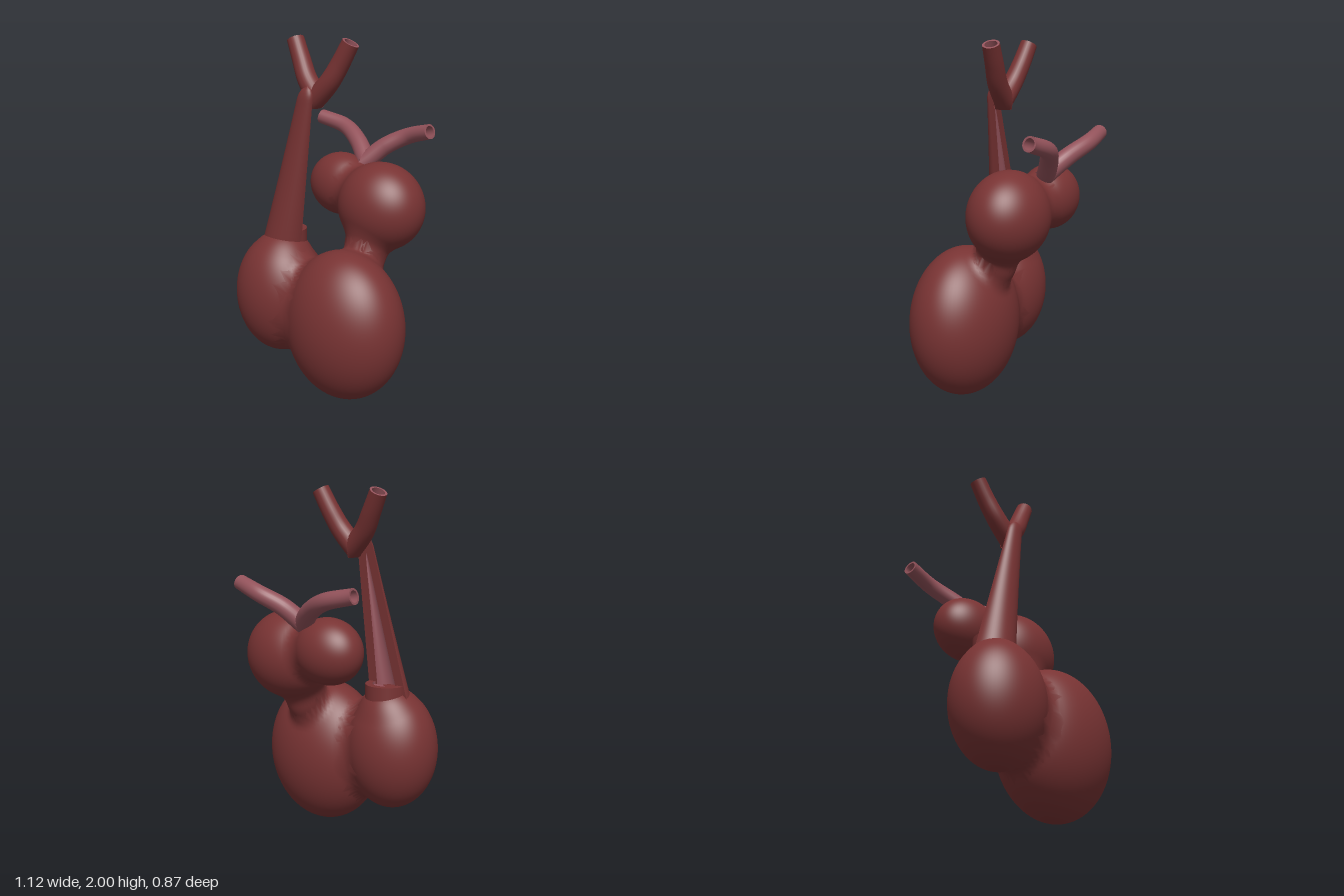
import * as THREE from 'three';

const V = (x, y, z) => new THREE.Vector3(x, y, z);
const flesh = new THREE.MeshStandardMaterial({ color: 0x783333, side: THREE.DoubleSide });
flesh.name = 'dark red muscle';
const lining = new THREE.MeshStandardMaterial({ color: 0x92525a, side: THREE.DoubleSide });
lining.name = 'pink vessel lining';

// Chambers as ellipsoids: name, centre, radii
const lobes = [
  ['largeVentricle', V(0.188, 0.43, 0.147), V(0.37, 0.43, 0.285)],
  ['smallVentricle', V(-0.285, 0.525, 0.175), V(0.275, 0.353, 0.247)],
  ['largeAtrium', V(0.2, 1.06, -0.15), V(0.265, 0.252, 0.221)],
  ['smallAtrium', V(-0.145, 1.13, -0.21), V(0.21, 0.185, 0.161)],
  ['valveNeck', V(0.17, 0.82, -0.06), V(0.115, 0.17, 0.112)],
  ['stalkRoot', V(-0.278, 0.76, 0.14), V(0.125, 0.12, 0.125)],
];

// Approximate distance to one ellipsoid
function ellipsoid(p, c, r) {
  const x = (p.x - c.x) / r.x, y = (p.y - c.y) / r.y, z = (p.z - c.z) / r.z;
  const k = Math.hypot(x, y, z);
  return k * (k - 1) / Math.max(1e-6, Math.hypot(x / r.x, y / r.y, z / r.z));
}

// Smooth union of all chambers
function field(p) {
  const K = 0.07;
  let d = 10;
  for (const [, c, r] of lobes) {
    const e = ellipsoid(p, c, r), h = Math.max(K - Math.abs(d - e), 0) / K;
    d = Math.min(d, e) - h * h * K / 4;
  }
  return d;
}

// A sphere whose vertices are pushed out to the blended surface
function lobeGeometry(c, r) {
  const g = new THREE.SphereGeometry(1, 80, 56);
  const pos = g.attributes.position, nor = g.attributes.normal;
  const dir = V(), p = V(), n = V(), e = 0.002;
  for (let i = 0; i < pos.count; i++) {
    dir.fromBufferAttribute(pos, i).multiply(r);
    let t = 0.98, prev = -1;
    for (; t < 1.35; t += 0.01) {
      const d = field(p.copy(c).addScaledVector(dir, t));
      if (d > 0) {
        t -= 0.01 * d / (d - prev);
        break;
      }
      prev = d;
    }
    p.copy(c).addScaledVector(dir, t);
    const slope = (x, y, z) => field(V(p.x + x, p.y + y, p.z + z)) - field(V(p.x - x, p.y - y, p.z - z));
    n.set(slope(e, 0, 0), slope(0, e, 0), slope(0, 0, e)).normalize();
    pos.setXYZ(i, p.x, p.y, p.z);
    nor.setXYZ(i, n.x, n.y, n.z);
  }
  return g;
}

// Surface patch from a function of u and v
function patch(nu, nv, f) {
  const g = new THREE.PlaneGeometry(1, 1, nu, nv);
  const pos = g.attributes.position, uv = g.attributes.uv;
  for (let i = 0; i < pos.count; i++) pos.setXYZ(i, ...f(uv.getX(i), uv.getY(i)));
  g.computeVertexNormals();
  return g;
}

export function createModel() {
  const model = new THREE.Group();
  const add = (name, geo, mat, parent = model) => {
    const m = new THREE.Mesh(geo, mat);
    m.name = name;
    parent.add(m);
    return m;
  };

  for (const [name, c, r] of lobes) add(name, lobeGeometry(c, r), flesh);

  // Hollow tapering branch, cut off at the plane x = seam and at a lowest height
  function branch(name, points, r0, r1, seam, floor, mat) {
    const group = new THREE.Group();
    group.name = name;
    model.add(group);
    const curve = new THREE.CatmullRomCurve3(points), SEG = 32, RAD = 24;
    const side = Math.sign(points.at(-1).x - seam);
    const end = curve.getPointAt(1), tangent = curve.getTangentAt(1);
    const wall = (scale) => {
      const g = new THREE.TubeGeometry(curve, SEG, 1, RAD);
      const pos = g.attributes.position, v = V();
      for (let i = 0; i < pos.count; i++) {
        const t = Math.floor(i / (RAD + 1)) / SEG, c = curve.getPointAt(t);
        v.fromBufferAttribute(pos, i).sub(c).multiplyScalar(scale * THREE.MathUtils.lerp(r0, r1, t)).add(c);
        if ((v.x - seam) * side < 0) v.x = seam;
        pos.setXYZ(i, v.x, Math.max(v.y, floor), v.z);
      }
      return g;
    };
    add('outerWall', wall(1), mat, group);
    add('innerWall', wall(0.74), lining, group);
    const rim = add('openRim', new THREE.RingGeometry(r1 * 0.74, r1, RAD), lining, group);
    rim.position.copy(end);
    rim.quaternion.setFromUnitVectors(V(0, 0, 1), tangent);
  }

  // Forked artery at the top
  for (const s of [-1, 1]) {
    const x = (d) => -0.0925 + s * d;
    branch('arteryBranch', [V(x(-0.05), 1.635, 0.068), V(x(0), 1.675, 0.062), V(x(0.085), 1.765, 0.05),
      V(x(0.145), 1.865, 0.032), V(x(0.205), 1.978, 0.017)], 0.063, 0.049, -0.0925, 1.61, flesh);
  }

  // Pink forked vein behind the atria
  branch('leftVein', [V(-0.06, 1.23, -0.23), V(-0.01, 1.275, -0.265), V(0.08, 1.365, -0.33),
    V(0.2, 1.43, -0.386), V(0.365, 1.477, -0.37)], 0.056, 0.043, -0.01, 0, lining);
  branch('rightVein', [V(0.04, 1.24, -0.24), V(-0.01, 1.275, -0.265), V(-0.13, 1.365, -0.335),
    V(-0.28, 1.435, -0.388), V(-0.455, 1.477, -0.37)], 0.056, 0.043, -0.01, 0, lining);

  // Great vessel: a tapering half pipe cut flat at the back
  const cut = 0.136;
  const cx = (v) => -0.287 + 0.19 * v;
  const cy = (v) => 0.83 + 0.91 * v;
  const outer = (v) => (0.131 - 0.083 * v) * Math.sqrt(Math.max(0, 1 - (Math.max(0, v - 0.92) / 0.08) ** 2));
  const inner = (v) => 0.55 * outer(v) * Math.sqrt(Math.max(0, 1 - v / 0.88));
  const half = (rad) => patch(32, 50, (u, v) => {
    const a = Math.PI * (1 - u), r = rad(v);
    return [cx(v) + r * Math.cos(a), cy(v), cut + r * Math.sin(a) * (0.92 - 0.3 * v)];
  });
  const vessel = new THREE.Group();
  vessel.name = 'greatVessel';
  model.add(vessel);
  add('vesselFront', half(outer), flesh, vessel);
  add('vesselGroove', half(inner), lining, vessel);
  for (const s of [-1, 1]) {
    add('vesselCutFace', patch(1, 50, (u, v) =>
      [cx(v) + s * THREE.MathUtils.lerp(inner(v), outer(v), u), cy(v), cut]), flesh, vessel);
  }

  // Open stump left at the foot of the cut vessel
  const arc = [40, 1, true, Math.PI / 2, Math.PI];
  const stump = new THREE.Group();
  stump.name = 'vesselStump';
  stump.position.set(-0.272, 0, cut);
  model.add(stump);
  const wall = (name, r, y0, y1, mat) => {
    const g = new THREE.CylinderGeometry(r, r, y1 - y0, arc[0], 1, true, Math.PI / 2, Math.PI);
    add(name, g, mat, stump).position.y = (y0 + y1) / 2;
  };
  const flat = (name, r0, r1, y, mat) => {
    const m = add(name, new THREE.RingGeometry(r0, r1, 40, 1, 0, Math.PI), mat, stump);
    m.rotation.x = -Math.PI / 2;
    m.position.y = y;
  };
  wall('stumpWall', 0.118, 0.76, 0.908, flesh);
  flat('stumpRim', 0.078, 0.118, 0.908, flesh);
  wall('stumpLining', 0.078, 0.885, 0.908, lining);
  flat('stumpLip', 0, 0.078, 0.893, lining);

  return model;
}
